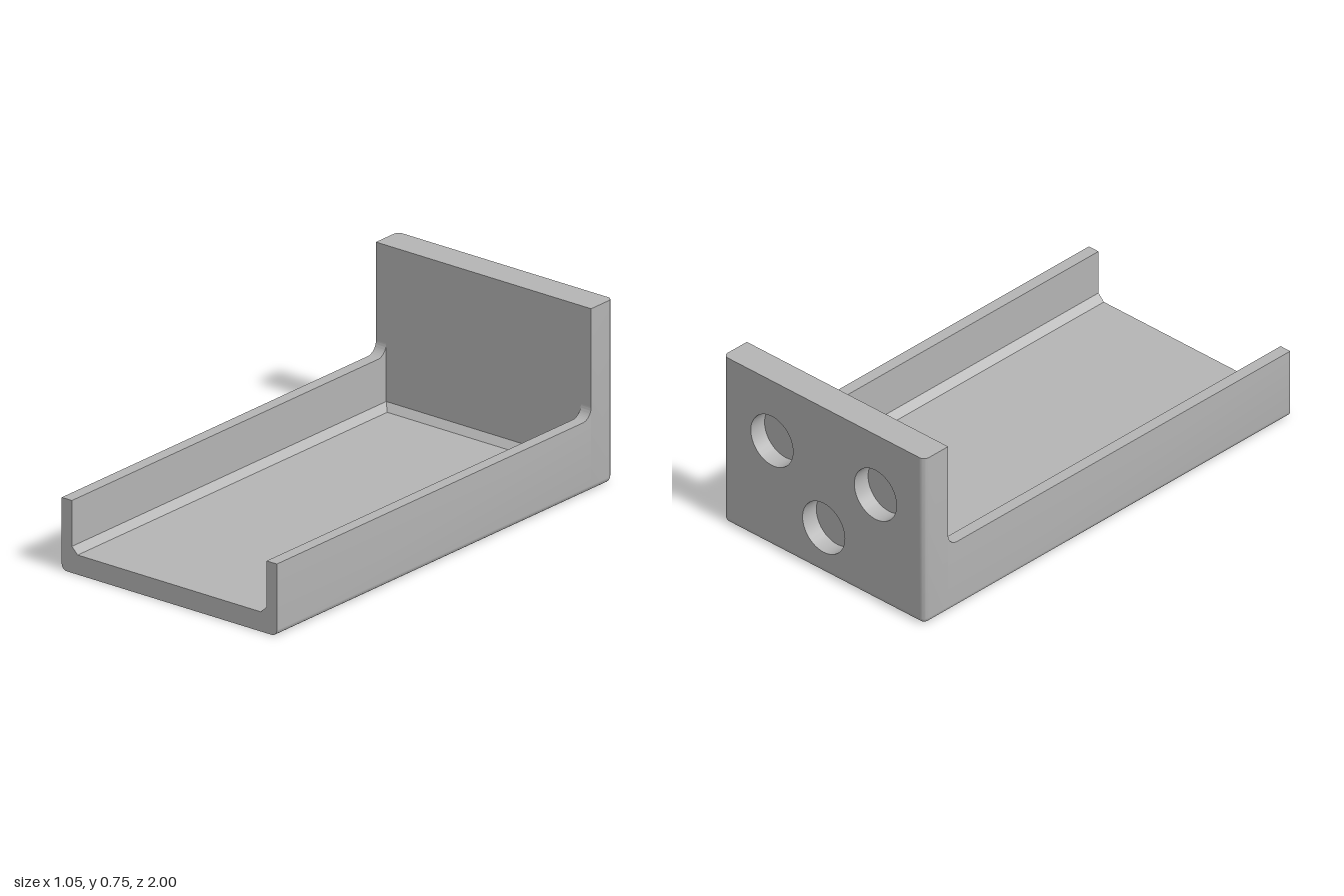
import * as THREE from 'three';
import { toCreasedNormals } from 'three/addons/utils/BufferGeometryUtils.js';

const W = 0.525, IN = 0.475;            // outer and inner half widths
const H = 0.745, RAIL = 0.295;          // back plate and rail heights
const FLOOR = 0.08, C = 0.028;          // floor height, inner chamfer
const R = 0.025, FILLET = 0.05;         // outer rounding, rail-to-plate fillet
const BACK = -1, INNER = -0.87, DEPTH = 0.075; // plate faces, socket depth
const HOLE_R = 0.11;
const HOLES = [[-0.27, 0.475], [0.27, 0.475], [0, 0.205]];
const SEG = 6;

// U-shaped outline from top right, around the rounded bottom, to top left
function outline(inset, top) {
  const w = W - inset, r = R - inset, pts = [new THREE.Vector2(w, top)];
  for (const [cx, start] of [[W - R, 0], [R - W, -Math.PI / 2]]) {
    for (let i = 0; i <= SEG; i++) {
      const a = start - (i / SEG) * Math.PI / 2;
      pts.push(new THREE.Vector2(cx + r * Math.cos(a), R + r * Math.sin(a)));
    }
  }
  pts.push(new THREE.Vector2(-w, top));
  return pts;
}

function extrude(shape, depth) {
  const g = new THREE.ExtrudeGeometry(shape, { depth, bevelEnabled: false, curveSegments: 32 });
  return toCreasedNormals(g, 0.5);
}

// Outer skin of the back plate, rounded towards the rear
function plateSkin() {
  const levels = [];
  for (let j = 0; j <= SEG; j++) {
    const a = (j / SEG) * Math.PI / 2;
    levels.push([R * (1 - Math.sin(a)), BACK + R * (1 - Math.cos(a))]);
  }
  levels.push([0, INNER]);
  const pos = [], idx = [];
  let n = 0;
  levels.forEach(([inset, z], j) => {
    const pts = outline(inset, H);
    n = pts.length;
    pts.forEach((p) => pos.push(p.x, p.y, z));
    if (j === 0) return;
    for (let i = 0; i < n - 1; i++) {
      const a = (j - 1) * n + i, c = a + n;
      idx.push(a, c, a + 1, a + 1, c, c + 1);
    }
  });
  const g = new THREE.BufferGeometry();
  g.setAttribute('position', new THREE.Float32BufferAttribute(pos, 3));
  g.setIndex(idx);
  return toCreasedNormals(g, 0.5);
}

export function createModel() {
  const group = new THREE.Group();
  const grey = new THREE.MeshStandardMaterial({ color: 0xb4b4b4 });
  grey.name = 'plainGrey';
  const add = (name, geometry, x = 0, y = 0, z = 0) => {
    const mesh = new THREE.Mesh(geometry, grey);
    mesh.name = name;
    mesh.position.set(x, y, z);
    group.add(mesh);
    return mesh;
  };

  // Tray: floor and two rails as one channel section
  const section = outline(0, RAIL);
  [[-IN, RAIL], [-IN, FLOOR + C], [C - IN, FLOOR], [IN - C, FLOOR], [IN, FLOOR + C], [IN, RAIL]]
    .forEach(([x, y]) => section.push(new THREE.Vector2(x, y)));
  add('trayChannel', extrude(new THREE.Shape(section), 1 - INNER), 0, 0, INNER);

  // Back plate: rounded skin, flat inner face and top edge
  add('backPlateSkin', plateSkin());
  add('backPlateInnerFace', new THREE.ShapeGeometry(new THREE.Shape(outline(0, H))), 0, 0, INNER);

  const plan = new THREE.Shape();
  plan.moveTo(-W, -INNER);
  plan.lineTo(W, -INNER);
  plan.lineTo(W, -BACK - R);
  plan.absarc(W - R, -BACK - R, R, 0, Math.PI / 2, false);
  plan.absarc(R - W, -BACK - R, R, Math.PI / 2, Math.PI, false);
  add('backPlateTop', new THREE.ShapeGeometry(plan, SEG).rotateX(-Math.PI / 2), 0, H, 0);

  // Rear face with three blind round sockets
  const rear = new THREE.Shape();
  rear.moveTo(R - W, R);
  rear.lineTo(W - R, R);
  rear.lineTo(W - R, H - 0.001);
  rear.lineTo(W - R, H);
  rear.lineTo(R - W, H);
  for (const [x, y] of HOLES) {
    rear.holes.push(new THREE.Path().absarc(x, y, HOLE_R, 0, Math.PI * 2, true));
    const floor = new THREE.CircleGeometry(HOLE_R, 64).rotateY(Math.PI);
    add('socketFloor', floor, x, y, BACK + DEPTH);
  }
  add('rearFace', extrude(rear, DEPTH), 0, 0, BACK);

  // Concave fillets where the rails meet the back plate
  const fillet = new THREE.Shape();
  fillet.moveTo(-INNER - FILLET, RAIL);
  fillet.lineTo(-INNER, RAIL);
  fillet.lineTo(-INNER, RAIL + FILLET);
  fillet.absarc(-INNER - FILLET, RAIL + FILLET, FILLET, 0, -Math.PI / 2, true);
  for (const x of [-W, IN]) {
    add('railFillet', extrude(fillet, W - IN).rotateY(Math.PI / 2), x);
  }

  // Chamfer between the floor and the back plate
  const chamfer = new THREE.Shape([
    new THREE.Vector2(-INNER - C, FLOOR),
    new THREE.Vector2(-INNER, FLOOR),
    new THREE.Vector2(-INNER, FLOOR + C),
  ]);
  add('rearFloorChamfer', extrude(chamfer, 2 * IN).rotateY(Math.PI / 2), -IN);

  return group;
}
